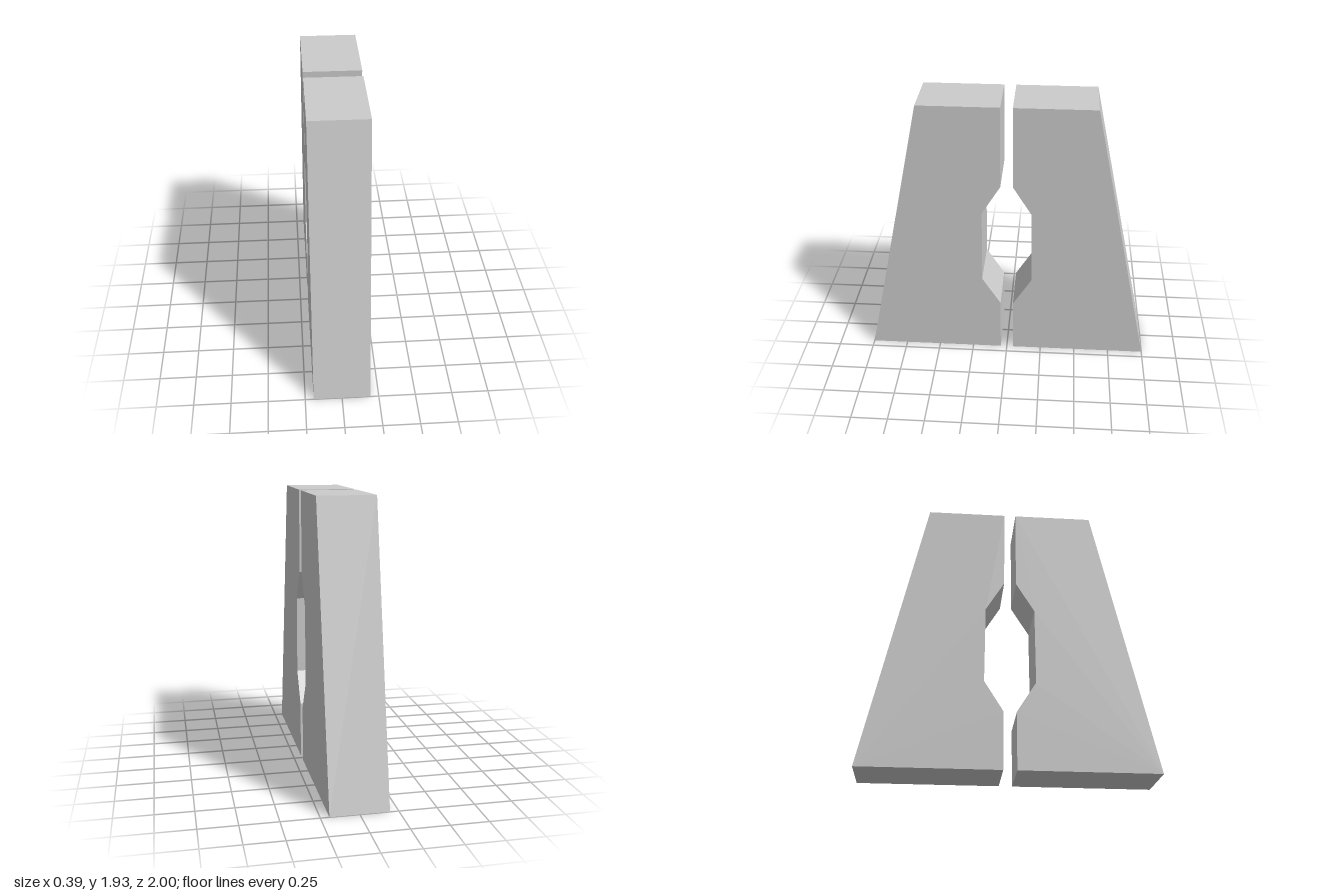
import * as THREE from 'three';

const WIDTH = 0.386;

// Side outline of one half: [distance from the centre plane, height]
const OUTLINE = [
  [1, 0], [0.585, 1.93], [0.04, 1.93], [0.042, 1.36],
  [0.17, 1.15], [0.175, 0.61], [0.045, 0.4], [0.045, 0],
];

export function createModel() {
  const model = new THREE.Group();
  model.name = 'splitTower';
  const material = new THREE.MeshStandardMaterial({ color: 0xcccccc, flatShading: true });

  const shape = new THREE.Shape(OUTLINE.map(([d, y]) => new THREE.Vector2(d, y)));
  const geometry = new THREE.ExtrudeGeometry(shape, { depth: WIDTH, bevelEnabled: false });
  geometry.translate(0, 0, -WIDTH / 2);

  // Two facing halves with a narrow slot and a faceted opening between them
  for (const [name, angle] of [['frontHalf', -Math.PI / 2], ['backHalf', Math.PI / 2]]) {
    const half = new THREE.Mesh(geometry, material);
    half.name = name;
    half.rotation.y = angle;
    model.add(half);
  }
  return model;
}
